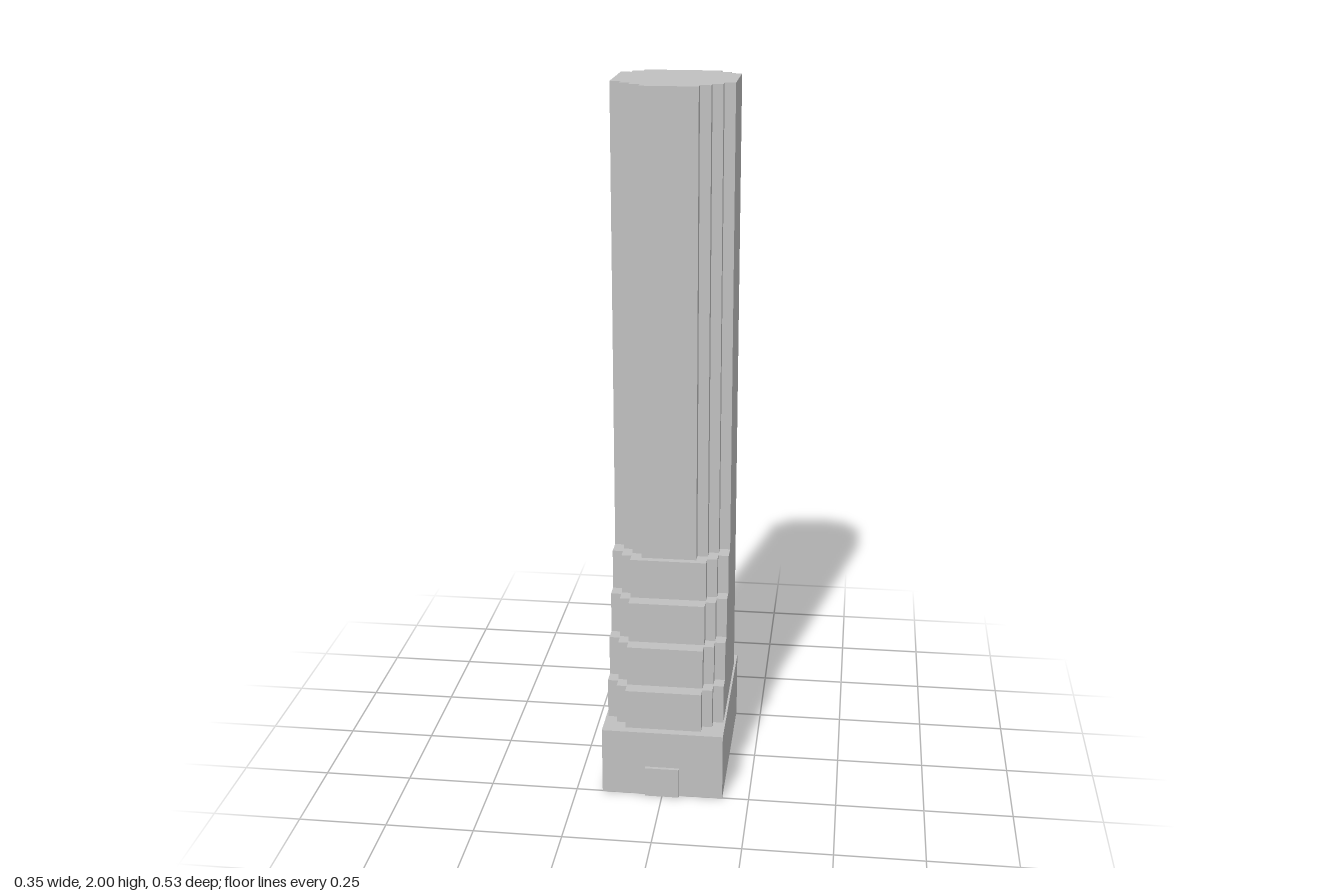
import * as THREE from 'three';

const BACK = -0.263;
const BASE_TOP = 0.2;

// Plan of a storey block: stepped corners, front edge at z = front
function planShape(front, frontSteps) {
  const half = [[0.168, BACK + 0.058], [0.138, BACK + 0.058], [0.138, BACK + 0.029],
    [0.109, BACK + 0.029], [0.109, BACK]].reverse();
  const xs = [0.168, 0.138, 0.109, 0.079];
  for (let i = 0; i <= frontSteps; i++) {
    const z = front - 0.03 * (frontSteps - i);
    half.push([xs[i], z]);
    if (i < frontSteps) half.push([xs[i + 1], z]);
  }
  const mirrored = half.map(([x, z]) => [-x, z]).reverse();
  return new THREE.Shape([...half, ...mirrored].map(([x, z]) => new THREE.Vector2(x, -z)));
}

function block(name, front, frontSteps, bottom, top, material) {
  const geometry = new THREE.ExtrudeGeometry(planShape(front, frontSteps),
    { depth: top - bottom, bevelEnabled: false });
  geometry.rotateX(-Math.PI / 2);
  geometry.translate(0, bottom, 0);
  const mesh = new THREE.Mesh(geometry, material);
  mesh.name = name;
  return mesh;
}

export function createModel() {
  const model = new THREE.Group();
  model.name = 'tower';
  const stone = new THREE.MeshStandardMaterial({ color: 0xc0c0c0, side: THREE.DoubleSide });
  stone.name = 'grey stone';

  // Hollow base, open underneath
  const baseFront = 0.253;
  const baseGeometry = new THREE.BoxGeometry(0.348, BASE_TOP, baseFront - BACK);
  const index = Array.from(baseGeometry.index.array);
  index.splice(18, 6); // bottom face
  baseGeometry.setIndex(index);
  baseGeometry.clearGroups();
  const base = new THREE.Mesh(baseGeometry, stone);
  base.name = 'base';
  base.position.set(0, BASE_TOP / 2, (baseFront + BACK) / 2);
  model.add(base);

  // Entrance slab
  const door = new THREE.Mesh(new THREE.BoxGeometry(0.098, 0.09, 0.01), stone);
  door.name = 'entrance';
  door.position.set(0, 0.045, baseFront + 0.005);
  model.add(door);

  // Four setbacks climbing to the shaft
  const levels = [BASE_TOP, 0.317, 0.435, 0.555, 0.672];
  for (let i = 0; i < 4; i++) {
    model.add(block(`setback${i + 1}`, 0.229 - 0.04 * i, 2, levels[i], levels[i + 1], stone));
  }
  model.add(block('shaft', 0.09, 3, levels[4], 2, stone));

  return model;
}
